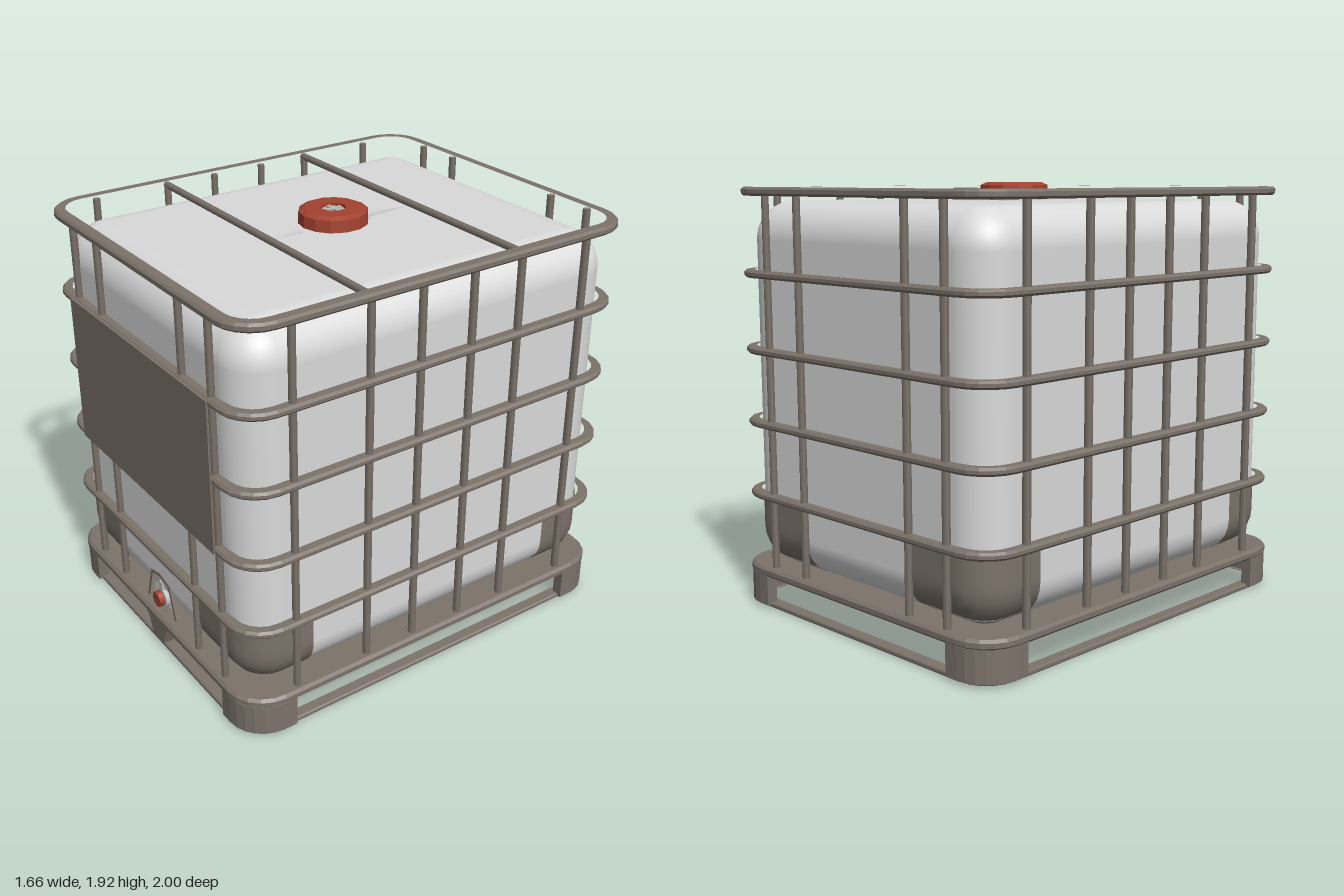
import * as THREE from 'three';
import { RoundedBoxGeometry } from 'three/addons/geometries/RoundedBoxGeometry.js';

const flat = (name, color, extra = {}) => {
  const m = new THREE.MeshStandardMaterial({ color, ...extra });
  m.name = name;
  return m;
};

// Points along a rounded corner: straight, arc, straight (sx, sz choose the corner)
function cornerPath(sx, sz, hx, hz, lenX, lenZ, r, inset = 0, steps = 6) {
  const cx = hx - r, cz = hz - r, k = r - inset;
  const pts = [[hx - lenX, cz + k]];
  for (let i = 0; i <= steps; i++) {
    const a = (Math.PI / 2) * (1 - i / steps);
    pts.push([cx + k * Math.cos(a), cz + k * Math.sin(a)]);
  }
  pts.push([cx + k, hz - lenZ]);
  return pts.map(([x, z]) => new THREE.Vector2(sx * x, sz * z));
}

// Closed outline of a rounded rectangle
function outline(hx, hz, r) {
  const q = (sx, sz) => cornerPath(sx, sz, hx, hz, r, r, r, 0, 5).slice(1, -1);
  return [...q(1, 1), ...q(1, -1).reverse(), ...q(-1, -1), ...q(-1, 1).reverse()];
}

// Extrude a plan shape upward from y0 to y1 with a small bevel
function slab(shape, y0, y1, bevel) {
  const g = new THREE.ExtrudeGeometry(shape, {
    depth: y1 - y0 - 2 * bevel, bevelEnabled: bevel > 0, bevelThickness: bevel,
    bevelSize: bevel, bevelOffset: -bevel, bevelSegments: 1, curveSegments: 4,
  });
  return g.rotateX(-Math.PI / 2).translate(0, y0 + bevel, 0);
}

function ring(hx, hz, r, width, y0, y1, bevel = 0.01) {
  const s = new THREE.Shape(outline(hx, hz, r));
  s.holes.push(new THREE.Path(outline(hx - width, hz - width, r - width)));
  return slab(s, y0, y1, bevel);
}

export function createModel() {
  const model = new THREE.Group();
  model.name = 'bulkLiquidTank';
  const plastic = flat('whitePlastic', 0xdadada);
  const steel = flat('brownGreySteel', 0x7c736a);
  const guardMat = flat('cornerGuardGrey', 0x7c736a, { side: THREE.DoubleSide });
  const red = flat('redCap', 0xa3422f);
  const plugMat = flat('plugGrey', 0xb9bfba);

  const group = (name) => {
    const g = new THREE.Group();
    g.name = name;
    model.add(g);
    return g;
  };
  const add = (parent, name, geo, mat, x = 0, y = 0, z = 0) => {
    const m = new THREE.Mesh(geo, mat);
    m.name = name;
    m.position.set(x, y, z);
    parent.add(m);
    return m;
  };
  const corners = [[1, 1], [1, -1], [-1, -1], [-1, 1]];

  // Tank body with short moulded seams beside the filler
  const tank = group('tank');
  const R = 0.17, HX = 0.77, HZ = 0.95, Y0 = 0.19, Y1 = 1.84;
  add(tank, 'tankBody', new RoundedBoxGeometry(HX * 2, Y1 - Y0, HZ * 2, 6, R), plastic, 0, (Y0 + Y1) / 2, 0);
  for (const s of [1, -1]) {
    const seam = new THREE.ConeGeometry(0.018, 0.24, 4).rotateX(s * Math.PI / 2);
    add(tank, 'topSeam', seam, plastic, 0, Y1, s * 0.29);
  }

  // Corner guards that follow the rounded lower corners of the tank
  const guards = group('cornerGuards');
  const rows = 8, gap = 0.006;
  for (const [sx, sz] of corners) {
    const cols = 8;
    const g = new THREE.PlaneGeometry(1, 1, cols - 1, rows);
    const p = g.attributes.position;
    for (let j = 0; j <= rows; j++) {
      const y = 0.2 + 0.32 * (j / rows);
      const k = Math.max(0, R - (y - Y0));
      const inset = R - Math.sqrt(R * R - k * k);
      const path = cornerPath(sx, sz, HX + gap, HZ + gap, 0.44, 0.31, R + gap, inset, cols - 3);
      if (sx * sz < 0) path.reverse();
      path.forEach((v, i) => p.setXYZ((rows - j) * cols + i, v.x, y, v.y));
    }
    g.computeVertexNormals();
    add(guards, 'cornerGuard', g, guardMat);
  }

  // Filler cap with a small centre plug
  const filler = group('filler');
  add(filler, 'fillerNeck', new THREE.CylinderGeometry(0.12, 0.12, 0.04, 16), plastic, 0, 1.845, 0);
  const capProfile = [[0.055, 1.895], [0.055, 1.92], [0.125, 1.92], [0.152, 1.908], [0.155, 1.855], [0.12, 1.85]]
    .reverse().map(([x, y]) => new THREE.Vector2(x, y));
  const capGeo = new THREE.LatheGeometry(capProfile, 14).toNonIndexed();
  capGeo.computeVertexNormals();
  add(filler, 'cap', capGeo, red);
  add(filler, 'plug', new THREE.CylinderGeometry(0.056, 0.056, 0.05, 10), plugMat, 0, 1.88, 0);
  for (const a of [0, Math.PI / 2]) {
    add(filler, 'plugRib', new THREE.BoxGeometry(0.08, 0.012, 0.016), plugMat, 0, 1.91, 0).rotation.y = a;
  }

  // Cage: horizontal hoops, upright bars and two top ties
  const cage = group('cage');
  add(cage, 'topHoop', ring(0.825, 0.99, 0.17, 0.04, 1.862, 1.9), steel);
  for (const y of [0.52, 0.85, 1.18, 1.52]) {
    add(cage, 'hoop', ring(0.82, 0.99, 0.17, 0.035, y - 0.017, y + 0.017), steel);
  }
  const bar = new THREE.CylinderGeometry(0.018, 0.018, 1.7, 6);
  for (const s of [1, -1]) {
    for (const x of [-0.57, -0.345, 0.345, 0.57]) add(cage, 'uprightBar', bar, steel, x, 1.03, s * 0.96);
    for (const z of [-0.74, -0.38, -0.13, 0.13, 0.38, 0.74]) add(cage, 'uprightBar', bar, steel, s * 0.79, 1.03, z);
    add(cage, 'topTie', new THREE.CylinderGeometry(0.016, 0.016, 1.6, 6).rotateZ(Math.PI / 2), steel, 0, 1.875, s * 0.38);
  }
  add(cage, 'frontPlate', new THREE.BoxGeometry(1.18, 0.69, 0.009), steel, 0, 1.185, 0.992);

  // Pallet: deck with rim, corner feet, floor rail and front support
  const pallet = group('pallet');
  add(pallet, 'deck', slab(new THREE.Shape(outline(0.81, 0.98, 0.17)), 0.15, 0.185, 0), steel);
  add(pallet, 'deckRim', ring(0.83, 1.0, 0.18, 0.05, 0.15, 0.195, 0.012), steel);
  add(pallet, 'floorRail', ring(0.805, 0.975, 0.16, 0.045, 0, 0.025, 0.006), steel);
  for (const [sx, sz] of corners) {
    const outer = cornerPath(sx, sz, 0.825, 0.995, 0.23, 0.23, 0.17);
    const inner = cornerPath(sx, sz, 0.775, 0.945, 0.18, 0.18, 0.12);
    const foot = new THREE.Shape([...outer, ...inner.reverse()]);
    // shape y maps to -z, so each foot lands on the opposite end; all four are covered
    add(pallet, 'foot', slab(foot, 0.015, 0.155, 0), steel);
  }
  const support = new THREE.Shape([[-0.19, 0.185], [-0.08, 0.12], [-0.05, 0.035], [0.05, 0.035], [0.08, 0.12], [0.19, 0.185]]
    .map(([x, y]) => new THREE.Vector2(x, y)));
  add(pallet, 'frontSupport', new THREE.ExtrudeGeometry(support, { depth: 0.08, bevelEnabled: false }), steel, 0, 0, 0.905);

  // Outlet valve in its surround at the foot of the front
  const valve = group('valve');
  const trap = (k) => [[-0.14, -0.1], [-0.085, 0.08], [0, 0.1], [0.085, 0.08], [0.14, -0.1]]
    .map(([x, y]) => new THREE.Vector2(x * k, y * k + 0.28));
  const surround = new THREE.Shape(trap(1));
  surround.holes.push(new THREE.Path(trap(0.84)));
  add(valve, 'valveSurround', new THREE.ExtrudeGeometry(surround, { depth: 0.1, bevelEnabled: false }), steel, 0, 0, 0.855);
  add(valve, 'valvePocket', new THREE.ExtrudeGeometry(new THREE.Shape(trap(0.85)), { depth: 0.07, bevelEnabled: false }), plastic, 0, 0, 0.86);
  add(valve, 'valveBody', new THREE.CylinderGeometry(0.05, 0.05, 0.04, 12).rotateX(Math.PI / 2), plugMat, 0, 0.25, 0.935);
  add(valve, 'valveStem', new THREE.BoxGeometry(0.03, 0.07, 0.03), plugMat, 0, 0.3, 0.94);
  add(valve, 'valveCap', new THREE.CylinderGeometry(0.037, 0.037, 0.03, 10).rotateX(Math.PI / 2), red, 0, 0.25, 0.965);

  return model;
}
